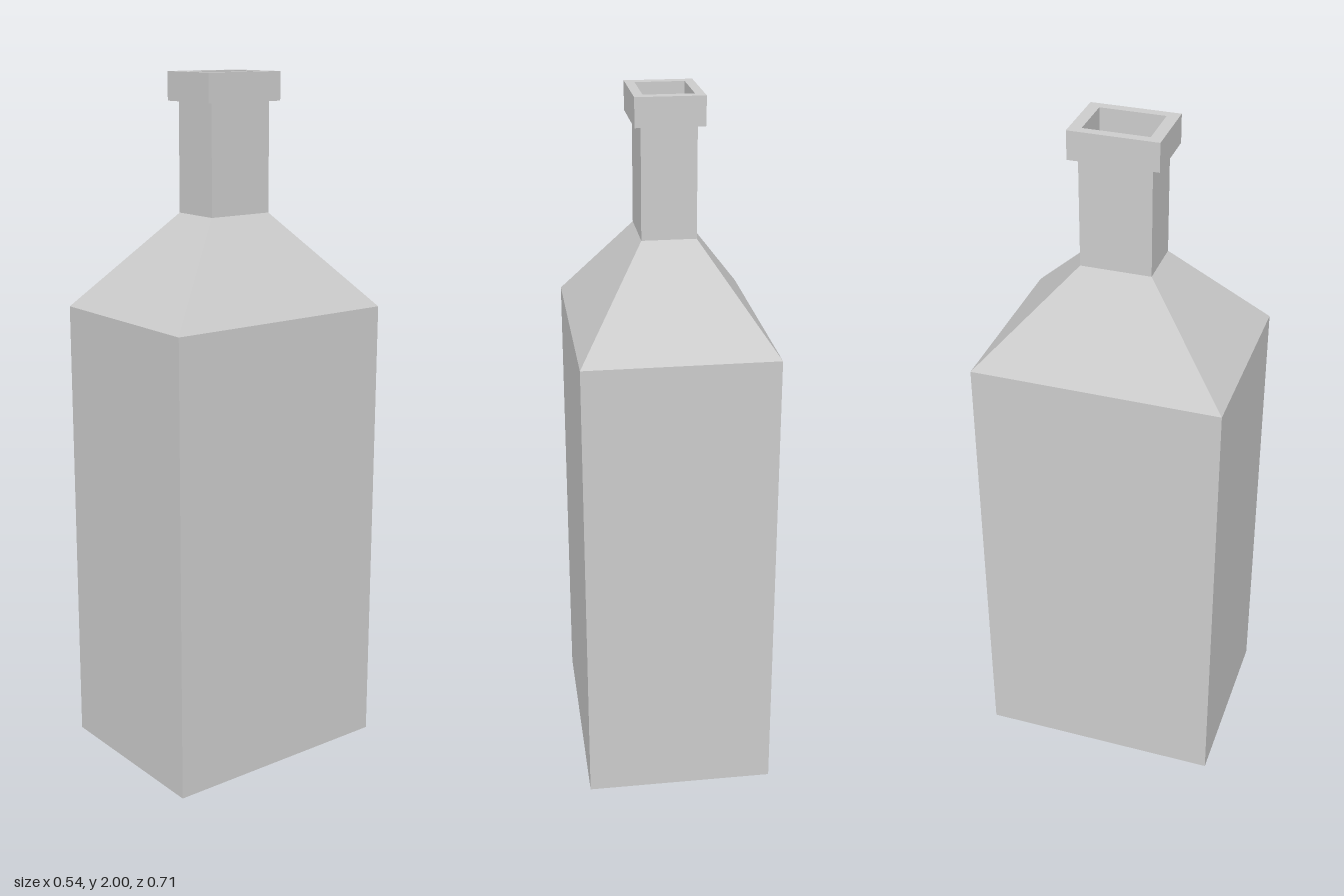
import * as THREE from 'three';

const material = new THREE.MeshStandardMaterial({ color: 0xcccccc, flatShading: true });

// Corners of a rectangular cross-section, counter-clockwise from above
const ring = ([hx, hz, y]) => [[hx, y, hz], [hx, y, -hz], [-hx, y, -hz], [-hx, y, hz]];

// Skins a run of rectangular sections [halfX, halfZ, y], optionally closing either end
function loft(name, sections, { capStart = false, capEnd = false } = {}) {
  const rings = sections.map(ring);
  const points = [];
  const quad = (a, b, c, d) => points.push(...a, ...b, ...c, ...a, ...c, ...d);
  for (let s = 0; s < rings.length - 1; s++) {
    const lower = rings[s], upper = rings[s + 1];
    for (let i = 0; i < 4; i++) {
      const j = (i + 1) % 4;
      quad(lower[i], lower[j], upper[j], upper[i]);
    }
  }
  if (capStart) quad(...[...rings[0]].reverse());
  if (capEnd) quad(...rings[rings.length - 1]);
  const geometry = new THREE.BufferGeometry();
  geometry.setAttribute('position', new THREE.Float32BufferAttribute(points, 3));
  geometry.computeVertexNormals();
  const mesh = new THREE.Mesh(geometry, material);
  mesh.name = name;
  return mesh;
}

export function createModel() {
  const bottle = new THREE.Group();
  bottle.name = 'bottle';

  const base = [0.27, 0.354, 0];
  const bodyTop = [0.27, 0.354, 1.34];
  const neckBase = [0.076, 0.1, 1.61];
  const neckTop = [0.076, 0.1, 1.92];
  const lipBottom = [0.095, 0.124, 1.92];
  const lipTop = [0.095, 0.124, 2];
  const mouth = [0.069, 0.091, 2];
  const boreFloor = [0.069, 0.091, 1.61];

  bottle.add(
    loft('body', [base, bodyTop], { capStart: true }),
    loft('shoulder', [bodyTop, neckBase]),
    loft('neck', [neckBase, neckTop]),
    // Underside, outer band and flat rim
    loft('lip', [neckTop, lipBottom, lipTop, mouth]),
    // Inside of the neck, down to the shoulder
    loft('bore', [mouth, boreFloor], { capEnd: true }),
  );
  return bottle;
}
